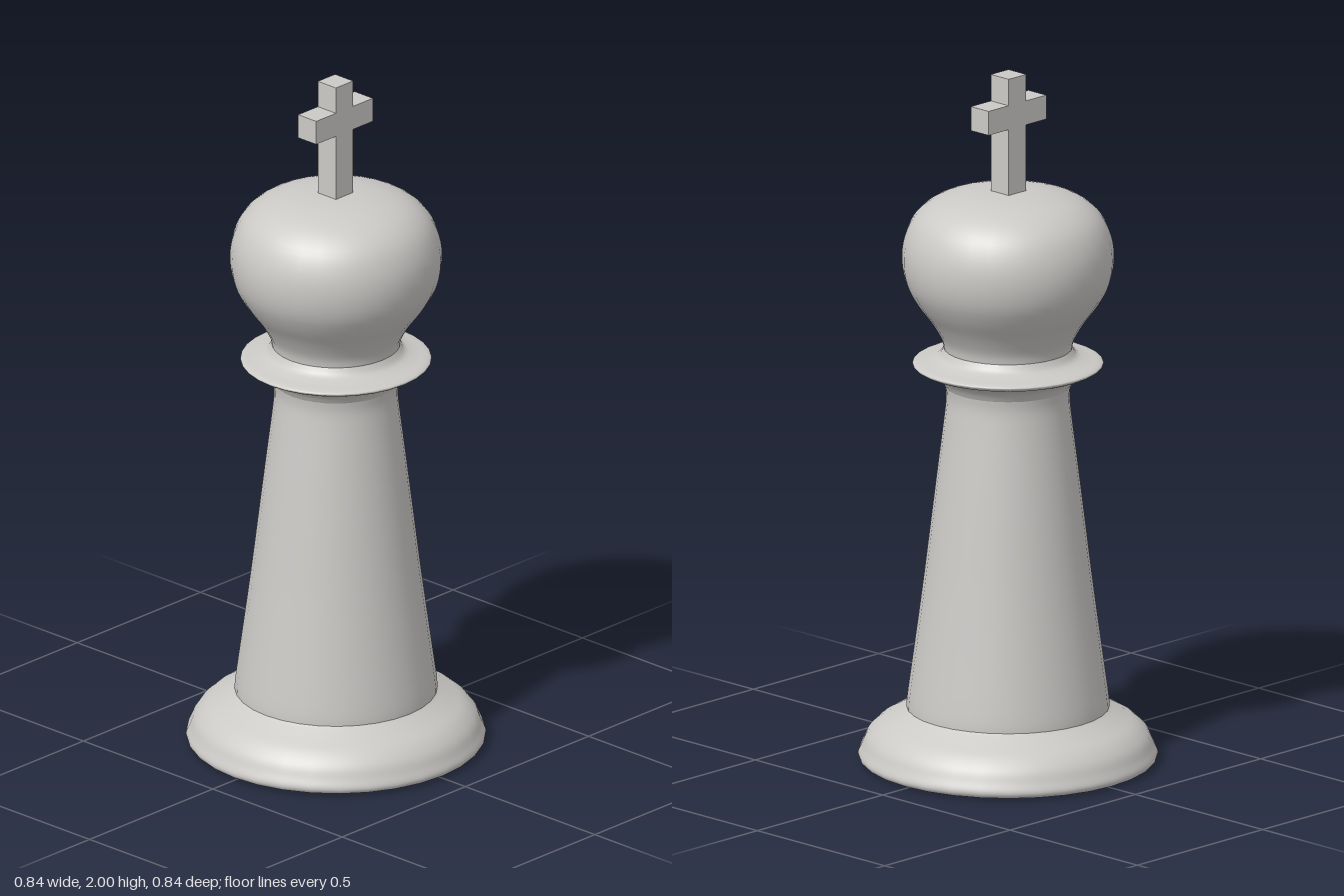
import * as THREE from 'three';

const SEGMENTS = 32;

export function createModel() {
  const group = new THREE.Group();
  const stone = new THREE.MeshStandardMaterial({ color: 0xcccac7 });
  stone.name = 'pale grey';

  const add = (name, geometry, x = 0, y = 0, z = 0) => {
    const mesh = new THREE.Mesh(geometry, stone);
    mesh.name = name;
    mesh.position.set(x, y, z);
    group.add(mesh);
  };

  // Smooth turned part from [radius, height] points, listed bottom to top
  const turned = (name, profile, steps) => {
    const curve = new THREE.SplineCurve(profile.map(([r, y]) => new THREE.Vector2(r, y)));
    const points = curve.getPoints(steps);
    points.forEach((p) => { p.x = Math.max(p.x, 0); });
    add(name, new THREE.LatheGeometry(points, SEGMENTS));
  };

  // Flat underside
  const underside = new THREE.CircleGeometry(0.39, SEGMENTS);
  underside.rotateX(Math.PI / 2);
  add('underside', underside, 0, 0.003);

  // Moulded foot
  turned('base', [
    [0.39, 0.003], [0.412, 0.01], [0.42, 0.025], [0.41, 0.05], [0.395, 0.082],
    [0.365, 0.112], [0.325, 0.135], [0.29, 0.155], [0.28, 0.163],
  ], 32);

  // Tapering column
  turned('column', [
    [0.284, 0.16], [0.281, 0.2], [0.262, 0.34], [0.238, 0.52], [0.216, 0.7],
    [0.194, 0.88], [0.179, 1.0], [0.173, 1.06], [0.176, 1.095],
  ], 28);

  // Flared collar
  turned('collar', [
    [0.176, 1.095], [0.193, 1.121], [0.225, 1.138], [0.256, 1.15], [0.268, 1.16],
    [0.256, 1.167], [0.225, 1.173], [0.195, 1.184], [0.18, 1.205],
  ], 32);

  // Rounded head
  turned('head', [
    [0.18, 1.205], [0.187, 1.235], [0.216, 1.285], [0.255, 1.338], [0.285, 1.395],
    [0.297, 1.46], [0.29, 1.525], [0.262, 1.585], [0.21, 1.628], [0.14, 1.651],
    [0.07, 1.66], [0, 1.662],
  ], 40);

  // Cross: upright and two arms
  const T = 0.07;
  add('crossUpright', new THREE.BoxGeometry(T, 0.36, T), 0, 1.82, -0.002);
  for (const side of [-1, 1]) {
    add(side > 0 ? 'leftCrossArm' : 'rightCrossArm',
      new THREE.BoxGeometry(0.08, T, T), side * 0.075, 1.888, -0.002);
  }

  return group;
}
